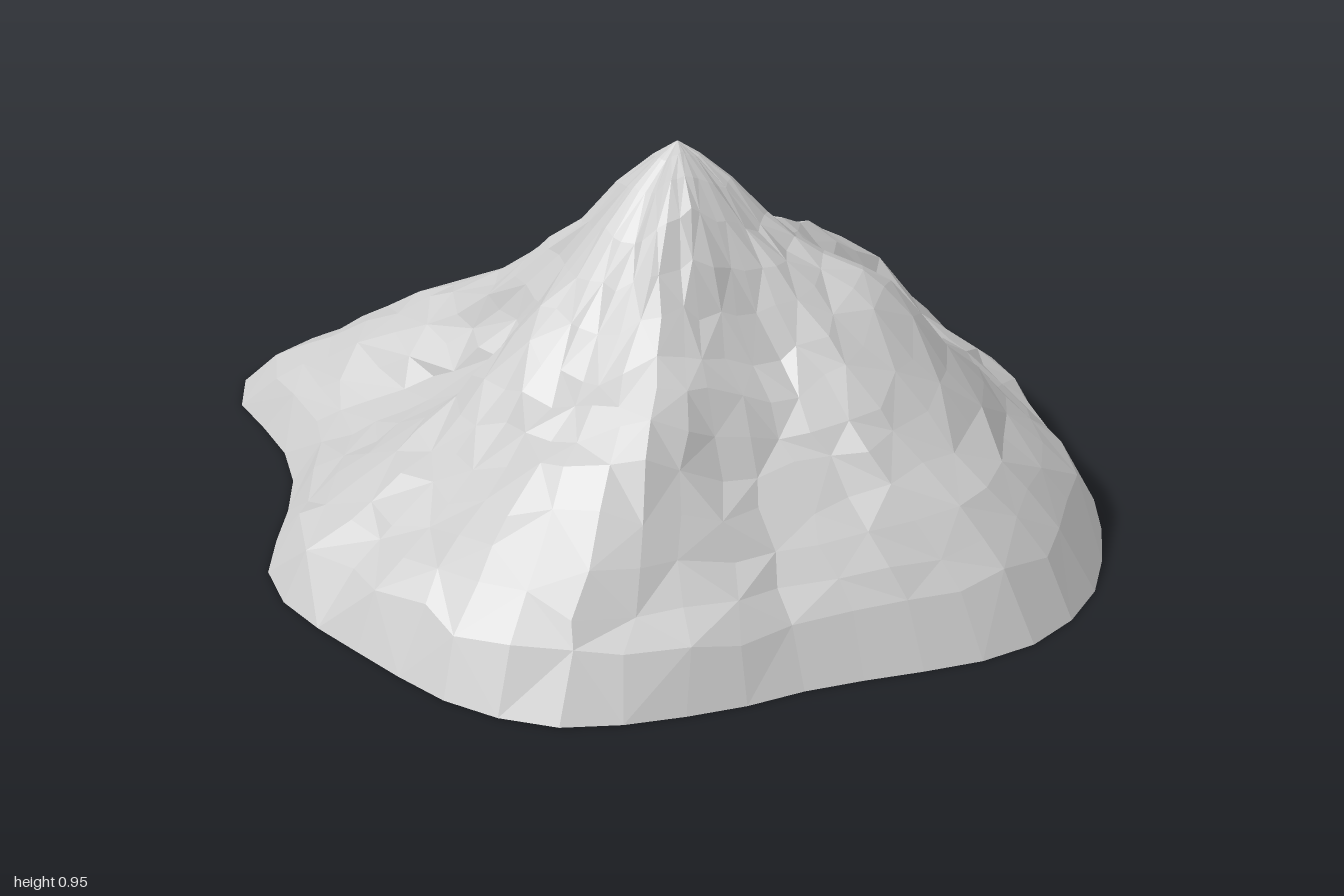
import * as THREE from 'three';

// Foot of the mountain as x, z pairs, running from the back round by +x
const FOOT = [
  [-0.15, -0.99], [0.18, -0.97], [0.3, -0.89], [0.6, -0.83], [0.76, -0.73], [0.83, -0.63],
  [0.9, -0.4], [0.99, -0.15], [0.97, -0.03], [0.98, 0.33], [0.9, 0.6], [0.83, 0.73],
  [0.72, 0.84], [0.56, 0.92], [0.1, 0.95], [-0.08, 0.98], [-0.38, 0.98], [-0.5, 0.95],
  [-0.67, 0.83], [-0.83, 0.6], [-0.98, 0.33], [-1, 0.2], [-0.97, 0.08], [-0.91, -0.1],
  [-0.88, -0.28], [-0.91, -0.45], [-0.96, -0.62], [-0.96, -0.71], [-0.86, -0.81],
  [-0.72, -0.85], [-0.5, -0.88], [-0.32, -0.95],
];

// Slope profiles every 22.5 degrees from +x towards +z, at the inner knots
const KNOTS = [0, 0.2, 0.4, 0.6, 0.8, 0.92, 1];
const SLOPES = [
  [0.75, 0.56, 0.40, 0.24, 0.14],
  [0.79, 0.65, 0.49, 0.27, 0.16],
  [0.78, 0.62, 0.45, 0.28, 0.15],
  [0.82, 0.55, 0.38, 0.23, 0.14],
  [0.86, 0.58, 0.39, 0.22, 0.13],
  [0.84, 0.57, 0.49, 0.24, 0.13],
  [0.77, 0.52, 0.41, 0.27, 0.14],
  [0.78, 0.54, 0.34, 0.20, 0.13],
  [0.76, 0.50, 0.31, 0.20, 0.12],
  [0.71, 0.43, 0.25, 0.16, 0.10],
  [0.70, 0.48, 0.35, 0.20, 0.10],
  [0.72, 0.52, 0.36, 0.20, 0.10],
  [0.70, 0.50, 0.35, 0.18, 0.09],
  [0.72, 0.57, 0.42, 0.25, 0.12],
  [0.70, 0.56, 0.47, 0.32, 0.14],
  [0.69, 0.46, 0.30, 0.20, 0.12],
];

// Shoulders standing out of the slopes: x, z, extra height, radius
const SHOULDERS = [
  [0.42, 0.35, 0.07, 0.1], [-0.12, 0.5, 0.04, 0.1], [-0.39, 0.23, 0.04, 0.09],
];

const PEAK = { x: 0, y: 0.955, z: 0.1 };
const SEGMENTS = 48;
const RINGS = [0.05, 0.12, 0.2, 0.27, 0.34, 0.41, 0.48, 0.55, 0.62, 0.7, 0.78, 0.85, 0.92, 1];

function seeded(seed) {
  return () => {
    seed = (seed * 16807) % 2147483647;
    return seed / 2147483647 - 0.5;
  };
}

function profileHeight(slope, t) {
  const heights = [PEAK.y, ...slope, 0];
  let k = 0;
  while (k < KNOTS.length - 2 && t > KNOTS[k + 1]) k++;
  return THREE.MathUtils.lerp(heights[k], heights[k + 1], (t - KNOTS[k]) / (KNOTS[k + 1] - KNOTS[k]));
}

// Blend the two nearest slope profiles, then round the summit and add shoulders
function heightAt(x, z, angle, t) {
  const n = SLOPES.length;
  const a = ((angle / (Math.PI * 2) + 1) % 1) * n;
  const i = Math.floor(a) % n;
  let y = THREE.MathUtils.lerp(
    profileHeight(SLOPES[i], t), profileHeight(SLOPES[(i + 1) % n], t), a - Math.floor(a));
  if (t < 0.2) y += 0.02 * Math.sin((t / 0.2) * Math.PI);
  for (const [sx, sz, h, r] of SHOULDERS) {
    y += h * Math.exp(-((x - sx) ** 2 + (z - sz) ** 2) / (r * r));
  }
  return y;
}

function mountainGeometry() {
  const random = seeded(71);
  const curve = new THREE.CatmullRomCurve3(FOOT.map(([x, z]) => new THREE.Vector3(x, 0, z)), true);
  const foot = curve.getSpacedPoints(SEGMENTS).slice(0, SEGMENTS);
  const positions = [PEAK.x, PEAK.y, PEAK.z];
  const index = [];

  // Rings from the summit to the foot, slightly uneven like rock
  RINGS.forEach((t) => {
    foot.forEach((p) => {
      const rough = t === 1 ? 0 : Math.min(t, 0.4);
      const s = t + random() * 0.06 * rough;
      const dx = p.x - PEAK.x, dz = p.z - PEAK.z;
      const x = PEAK.x + dx * s + random() * 0.07 * rough;
      const z = PEAK.z + dz * s + random() * 0.07 * rough;
      const angle = Math.atan2(z - PEAK.z, x - PEAK.x);
      const y = t === 1 ? 0 : heightAt(x, z, angle, s) + random() * 0.05 * rough;
      positions.push(x, y, z);
    });
  });

  // Summit fan, then bands of triangles with alternating diagonals
  const at = (ring, i) => 1 + ring * SEGMENTS + (i % SEGMENTS);
  for (let i = 0; i < SEGMENTS; i++) {
    index.push(0, at(0, i + 1), at(0, i));
    for (let r = 0; r < RINGS.length - 1; r++) {
      const a = at(r, i), b = at(r, i + 1), c = at(r + 1, i), d = at(r + 1, i + 1);
      if ((i + r) % 2) index.push(a, b, c, b, d, c);
      else index.push(a, b, d, a, d, c);
    }
  }

  const geometry = new THREE.BufferGeometry();
  geometry.setAttribute('position', new THREE.Float32BufferAttribute(positions, 3));
  geometry.setIndex(index);
  geometry.computeVertexNormals();
  return geometry;
}

export function createModel() {
  const group = new THREE.Group();
  group.name = 'mountain';
  // Open shell of rock without a floor
  const rock = new THREE.Mesh(mountainGeometry(), new THREE.MeshStandardMaterial({
    color: 0xcccccc, flatShading: true, side: THREE.DoubleSide,
  }));
  rock.name = 'rockSurface';
  group.add(rock);
  return group;
}
